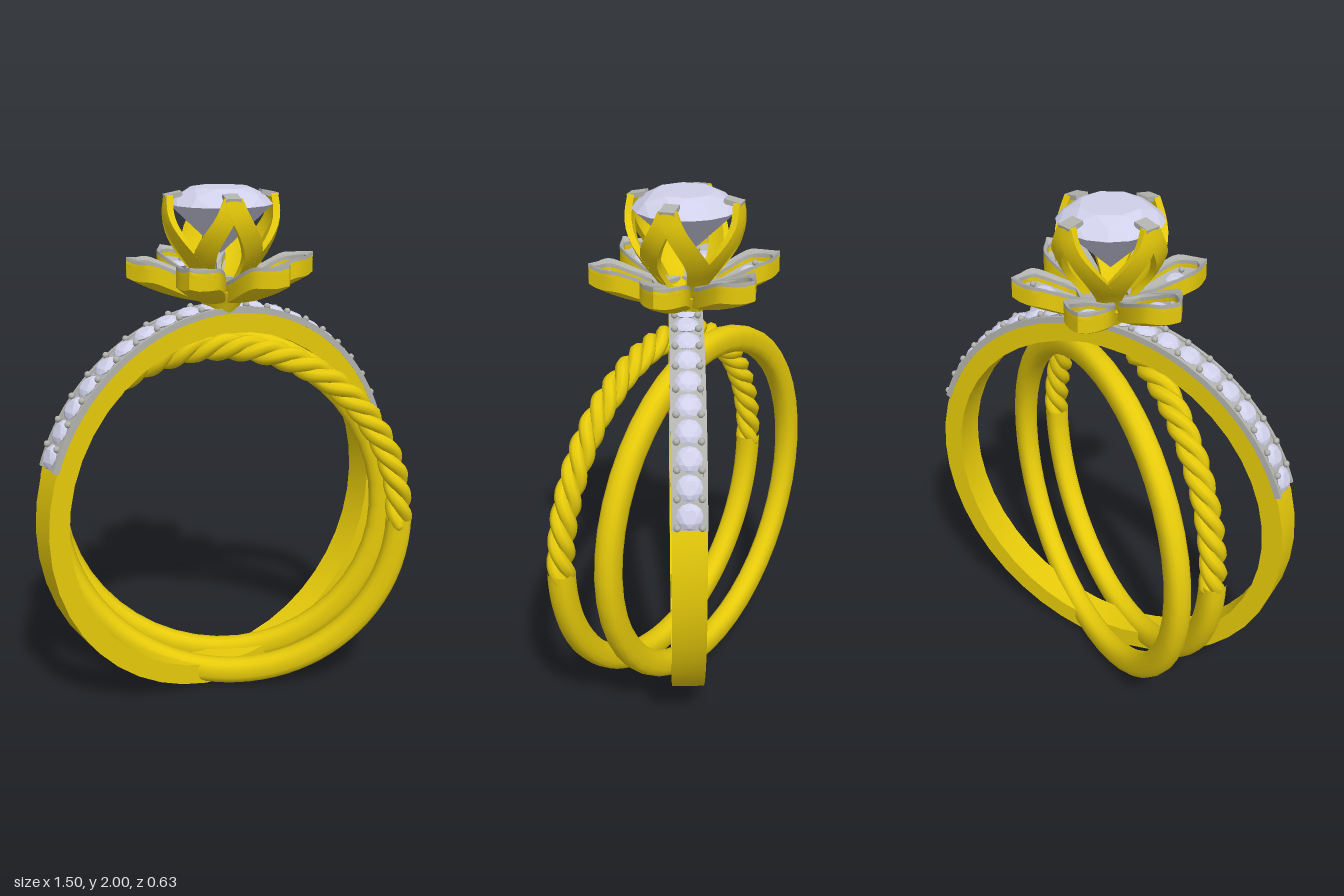
import * as THREE from 'three';
import { toCreasedNormals } from 'three/addons/utils/BufferGeometryUtils.js';
import { ConvexGeometry } from 'three/addons/geometries/ConvexGeometry.js';

const gold = new THREE.MeshStandardMaterial({ color: 0xe6ca0a });
const silver = new THREE.MeshStandardMaterial({ color: 0xb2b2ae });
const crystal = new THREE.MeshStandardMaterial({ color: 0xd0d0ea });

function add(parent, name, geometry, material, x = 0, y = 0, z = 0) {
  const mesh = new THREE.Mesh(geometry, material);
  mesh.name = name;
  mesh.position.set(x, y, z);
  parent.add(mesh);
  return mesh;
}

// Moves every vertex by a rule, then rebuilds the normals
function deform(geometry, rule) {
  const p = geometry.attributes.position, v = new THREE.Vector3();
  for (let i = 0; i < p.count; i++) {
    rule(v.fromBufferAttribute(p, i));
    p.setXYZ(i, v.x, v.y, v.z);
  }
  geometry.computeVertexNormals();
  return toCreasedNormals(geometry, 0.6);
}

// Faceted stone, girdle radius 1 at y = 0
function gemGeometry(sides) {
  const points = [new THREE.Vector3(0, -0.95, 0)];
  for (let i = 0; i < sides * 2; i++) {
    const a = (i * Math.PI) / sides, c = Math.cos(a), s = Math.sin(a);
    points.push(new THREE.Vector3(c, 0, s));
    if (i % 2) points.push(new THREE.Vector3(c * 0.58, 0.31, s * 0.58));
    else points.push(new THREE.Vector3(c * 0.84, 0.17, s * 0.84));
  }
  return new ConvexGeometry(points);
}

// Band standing upright; angle 0 is the bottom of the ring
function bandGeometry(section, start = 0, length = Math.PI * 2) {
  const geo = new THREE.LatheGeometry([...section, section[0]], 44, start, length);
  return toCreasedNormals(geo.rotateX(Math.PI / 2), 0.6);
}

function roundedSection(radius, halfThick, halfWidth) {
  const soft = (v) => Math.sign(v) * Math.abs(v) ** 0.75;
  return Array.from({ length: 14 }, (_, i) => {
    const a = (i / 14) * Math.PI * 2;
    return new THREE.Vector2(radius + halfThick * soft(Math.cos(a)), halfWidth * soft(Math.sin(a)));
  });
}

function arcStrip(inner, outer, a0, a1, z, depth) {
  const shape = new THREE.Shape();
  shape.absarc(0, 0, outer, a0, a1, false);
  shape.absarc(0, 0, inner, a1, a0, true);
  const geo = new THREE.ExtrudeGeometry(shape, { depth, bevelEnabled: false, curveSegments: 40 });
  return toCreasedNormals(geo.translate(0, 0, z), 0.5);
}

function jewelledBand() {
  const band = new THREE.Group();
  band.name = 'jewelledBand';
  const section = [[0.77, -0.062], [0.77, 0.062], [0.688, 0.062], [0.688, -0.062]];
  add(band, 'bandBody', bandGeometry(section.map(([x, y]) => new THREE.Vector2(x, y))), gold);
  const a0 = 0.33, a1 = Math.PI - a0, count = 20, gem = gemGeometry(6);
  const bead = new THREE.SphereGeometry(0.013, 8, 6);
  add(band, 'stoneBed', arcStrip(0.762, 0.778, a0, a1, -0.062, 0.124), silver);
  for (const z of [-0.063, 0.049]) add(band, 'stoneRail', arcStrip(0.762, 0.786, a0, a1, z, 0.014), silver);
  for (let i = 0; i < count; i++) {
    const step = (a1 - a0) / count, a = a0 + (i + 0.5) * step;
    const stone = add(band, 'bandStone', gem, crystal, 0.785 * Math.cos(a), 0.785 * Math.sin(a));
    stone.rotation.z = a - Math.PI / 2;
    stone.scale.setScalar(0.047);
    const b = a0 + (i + 0.12) * step;
    for (const z of [-0.043, 0.043]) add(band, 'bead', bead, silver, 0.792 * Math.cos(b), 0.792 * Math.sin(b), z);
  }
  band.position.y = 0.77;
  band.rotation.y = 0.33;
  return band;
}

function ropeBand() {
  const band = new THREE.Group();
  band.name = 'ropeBand';
  add(band, 'lowerBand', bandGeometry(roundedSection(0.678, 0.05, 0.046), -Math.PI / 2, Math.PI), gold);
  for (let s = 0; s < 3; s++) {
    const points = [];
    for (let i = 0; i <= 130; i++) {
      const a = -0.03 + (i / 130) * (Math.PI + 0.06);
      const twist = a * 16 + (s * Math.PI * 2) / 3;
      const r = 0.678 + 0.026 * Math.cos(twist);
      points.push(new THREE.Vector3(r * Math.cos(a), r * Math.sin(a), 0.026 * Math.sin(twist)));
    }
    add(band, 'ropeStrand', new THREE.TubeGeometry(new THREE.CatmullRomCurve3(points), 180, 0.027, 8), gold);
    for (const end of [points[0], points[130]]) {
      add(band, 'strandEnd', new THREE.SphereGeometry(0.027, 8, 6), gold, end.x, end.y, end.z);
    }
  }
  band.position.set(0, 0.735, 0.09);
  band.rotation.y = -0.26;
  return band;
}

// Leaf outline: half width along the petal, t from root to tip
const R0 = 0.06, R1 = 0.36;
const leafWidth = (t) => t < 0.65
  ? 0.03 + 0.055 * Math.sin((t / 0.65) * Math.PI / 2)
  : 0.085 * Math.max(Math.cos(((t - 0.65) / 0.35) * Math.PI / 2), 0.01);
const cupHeight = (r, z) => 1.57 + 0.8 * r * r + 5 * z * z;

function petalSlab(t0, t1, inset, h0, h1) {
  return deform(new THREE.BoxGeometry(1, 1, 1, 14, 1, 6), (v) => {
    const t = t0 + (v.x + 0.5) * (t1 - t0);
    const r = R0 + t * (R1 - R0);
    const z = v.z * 2 * Math.max(leafWidth(t) - inset, 0.002);
    v.set(r, cupHeight(r, z) + (v.y < 0 ? h0 : h1), z);
  });
}

function petalRim(h, depth) {
  const outline = (t0, t1, inset) => {
    const side = (s) => Array.from({ length: 15 }, (_, i) => {
      const t = t0 + (i / 14) * (t1 - t0);
      return new THREE.Vector2(R0 + t * (R1 - R0), s * Math.max(leafWidth(t) - inset, 0.001));
    });
    return [...side(-1), ...side(1).reverse()];
  };
  const shape = new THREE.Shape(outline(0, 1, 0));
  shape.holes.push(new THREE.Path(outline(0.2, 0.9, 0.02)));
  const geo = new THREE.ExtrudeGeometry(shape, { depth, bevelEnabled: false }).rotateX(-Math.PI / 2);
  return deform(geo, (v) => { v.y += h + cupHeight(v.x, v.z); });
}

function flower() {
  const group = new THREE.Group();
  group.name = 'flower';
  const body = petalSlab(0, 1, 0, 0, 0.045), floor = petalSlab(0.18, 0.92, 0.017, 0.04, 0.048);
  const wall = petalRim(0.045, 0.018), rim = petalRim(0.063, 0.014);
  const gem = gemGeometry(6), bead = new THREE.SphereGeometry(0.012, 8, 6);
  for (let i = 0; i < 6; i++) {
    const petal = new THREE.Group();
    petal.name = 'petal';
    add(petal, 'petalBody', body, gold);
    add(petal, 'petalFloor', floor, silver);
    add(petal, 'petalWall', wall, gold);
    add(petal, 'petalRim', rim, silver);
    const stone = add(petal, 'petalStone', gem, crystal, 0.245, cupHeight(0.245, 0) + 0.065);
    stone.scale.setScalar(0.042);
    for (const z of [-0.04, 0.04]) add(petal, 'bead', bead, silver, 0.277, cupHeight(0.277, z) + 0.058, z);
    petal.rotation.y = (i * Math.PI) / 3;
    group.add(petal);
  }
  add(group, 'flowerBase', new THREE.CylinderGeometry(0.1, 0.06, 0.09, 20), gold, 0, 1.575, 0);
  return group;
}

// Crown of four split prongs holding the main stone
function crown() {
  const group = new THREE.Group();
  group.name = 'crown';
  // Path of one prong arm: (angle, height, radius)
  const path = new THREE.CatmullRomCurve3([
    [0.02, 1.975, 0.2], [0.12, 1.91, 0.208], [0.35, 1.83, 0.195], [0.62, 1.74, 0.15], [0.75, 1.66, 0.09], [0.785, 1.59, 0.05],
  ].map((p) => new THREE.Vector3(...p)));
  const arm = (side) => deform(new THREE.BoxGeometry(1, 1, 1, 3, 16, 1), (v) => {
    const t = 0.5 - v.y, p = path.getPoint(t);
    const r = p.z + v.z * 0.026;
    const a = side * p.x + (v.x * (0.055 + 0.03 * Math.sin(Math.PI * t))) / p.z;
    v.set(r * Math.sin(a), p.y, r * Math.cos(a));
  });
  const arms = [arm(1), arm(-1)];
  for (let i = 0; i < 4; i++) {
    const prong = new THREE.Group();
    prong.name = 'prong';
    arms.forEach((geo) => add(prong, 'prongArm', geo, gold));
    const tip = add(prong, 'prongTip', new THREE.BoxGeometry(0.056, 0.018, 0.065), silver, 0, 1.972, 0.182);
    tip.rotation.x = 0.2;
    prong.rotation.y = (i * Math.PI) / 2;
    group.add(prong);
  }
  const stone = add(group, 'mainStone', gemGeometry(8), crystal, 0, 1.939, 0);
  stone.scale.setScalar(0.195);
  return group;
}

export function createModel() {
  const ring = new THREE.Group();
  ring.name = 'ring';
  const plain = add(ring, 'plainBand', bandGeometry(roundedSection(0.673, 0.052, 0.044)), gold, 0, 0.735, -0.09);
  plain.rotation.y = -0.26;
  ring.add(jewelledBand(), ropeBand(), flower(), crown());
  return ring;
}
